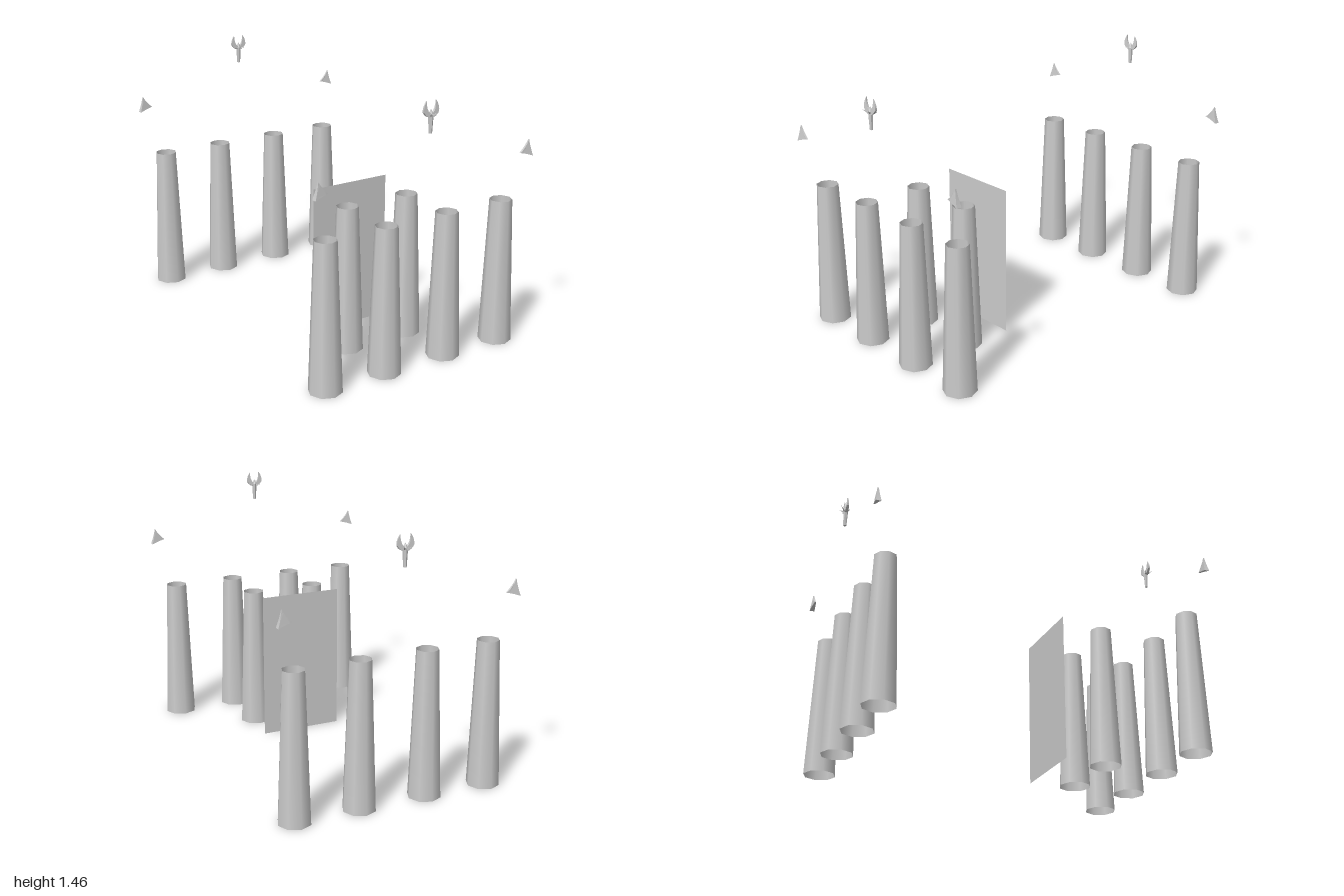
import * as THREE from 'three';

const smooth = new THREE.MeshStandardMaterial({ color: 0xcccccc, side: THREE.DoubleSide });
const flat = new THREE.MeshStandardMaterial({ color: 0xcccccc, side: THREE.DoubleSide, flatShading: true });

function add(parent, name, geometry, material, x = 0, y = 0, z = 0) {
  const mesh = new THREE.Mesh(geometry, material);
  mesh.name = name;
  mesh.position.set(x, y, z);
  parent.add(mesh);
  return mesh;
}

// Unit-thick slab (z from -0.5 to 0.5) whose thickness is then set by halfDepth(x, y)
function blade(shape, halfDepth) {
  const g = new THREE.ExtrudeGeometry(shape, { depth: 1, bevelEnabled: false, curveSegments: 5 });
  g.translate(0, 0, -0.5);
  const p = g.attributes.position;
  for (let i = 0; i < p.count; i++) {
    p.setZ(i, p.getZ(i) * 2 * halfDepth(p.getX(i), p.getY(i)));
  }
  g.computeVertexNormals();
  return g;
}

// Curved horn: thick at its outer lower corner, thin at both points
function hornGeometry() {
  const s = new THREE.Shape();
  s.moveTo(0.68, 1.066);
  s.quadraticCurveTo(0.665, 1.11, 0.657, 1.157);
  s.quadraticCurveTo(0.636, 1.115, 0.6, 1.09);
  s.quadraticCurveTo(0.64, 1.082, 0.68, 1.066);
  return blade(s, (x, y) => Math.max(0.004, 0.015 - 0.13 * Math.hypot(x - 0.68, y - 1.066)));
}

// Upswept crescent wing of the central finial
function wingGeometry() {
  const s = new THREE.Shape();
  s.moveTo(0, 1.37);
  s.quadraticCurveTo(0.03, 1.372, 0.046, 1.4);
  s.quadraticCurveTo(0.05, 1.43, 0.029, 1.457);
  s.quadraticCurveTo(0.03, 1.4, 0, 1.39);
  return blade(s, (x, y) => Math.max(0.003, 0.009 - 0.08 * (y - 1.37)));
}

// Thin spike between two points
function spike(parent, from, to, radius) {
  const dir = to.clone().sub(from);
  const g = new THREE.ConeGeometry(radius, dir.length(), 4);
  g.translate(0, dir.length() / 2, 0);
  const m = add(parent, 'finialSpike', g, flat, from.x, from.y, from.z);
  m.quaternion.setFromUnitVectors(new THREE.Vector3(0, 1, 0), dir.normalize());
}

// Finial and two horns for one end of the building
function gableOrnaments(name) {
  const group = new THREE.Group();
  group.name = name;
  const horn = hornGeometry(), wing = wingGeometry();
  add(group, 'finialStem', new THREE.CylinderGeometry(0.014, 0.009, 0.095, 6), flat, 0, 1.3375);
  add(group, 'finialCrown', new THREE.ConeGeometry(0.014, 0.03, 6), flat, 0, 1.4);
  for (const side of [-1, 1]) {
    add(group, 'horn', horn, flat).scale.x = side;
    add(group, 'finialWing', wing, flat).scale.x = side;
    const root = new THREE.Vector3(0, 1.375, 0);
    spike(group, root, new THREE.Vector3(side * 0.025, 1.4, 0.035), 0.007);
    spike(group, root, new THREE.Vector3(side * 0.035, 1.385, -0.018), 0.007);
  }
  return group;
}

export function createModel() {
  const model = new THREE.Group();
  model.name = 'colonnade';

  // Open, tapered eight-sided columns
  const column = new THREE.CylinderGeometry(0.061, 0.091, 0.82, 8, 1, true);
  for (const z of [-0.88, 0.53, 0.88]) {
    const xs = z === 0.53 ? [-0.193, 0.193] : [-0.56, -0.193, 0.193, 0.56];
    for (const x of xs) add(model, 'column', column, smooth, x, 0.41, z);
  }

  // Flat door panel behind the inner columns
  add(model, 'doorPanel', new THREE.PlaneGeometry(0.48, 0.846), smooth, 0, 0.423, 0.27);

  // Roof ornaments at both ends
  const front = gableOrnaments('frontOrnaments');
  front.position.z = 0.965;
  const back = gableOrnaments('backOrnaments');
  back.position.z = -0.965;
  back.rotation.y = Math.PI;
  model.add(front, back);

  return model;
}
